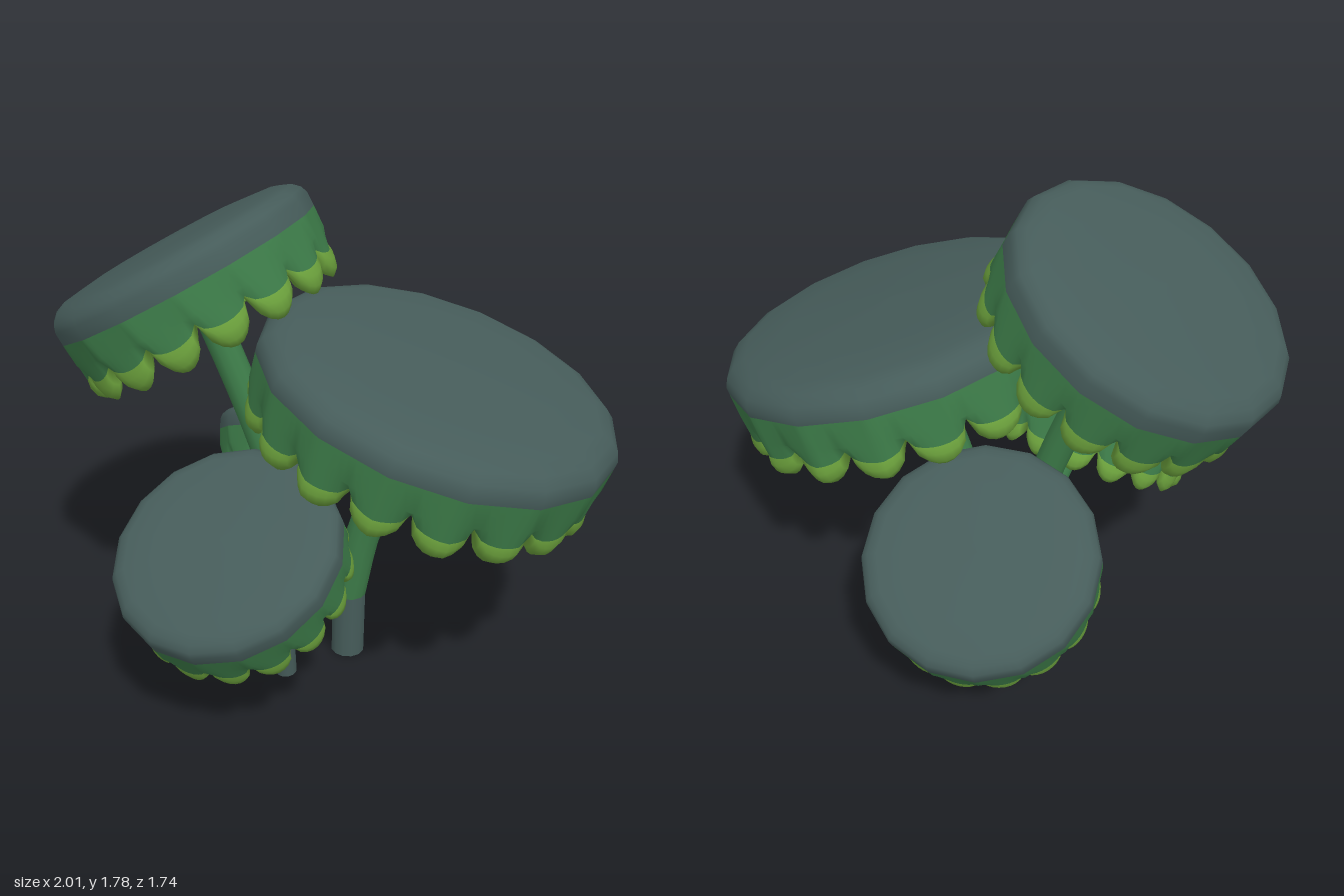
import * as THREE from 'three';

const slate = new THREE.MeshStandardMaterial({ color: 0x465c5a });
slate.name = 'slate';
const green = new THREE.MeshStandardMaterial({ color: 0x3d7c49, side: THREE.DoubleSide });
green.name = 'leafGreen';
const lime = new THREE.MeshStandardMaterial({ color: 0x6ba03c, side: THREE.DoubleSide });
lime.name = 'lime';

const SIDES = 16;

function add(parent, name, geometry, material) {
  const mesh = new THREE.Mesh(geometry, material);
  mesh.name = name;
  parent.add(mesh);
  return mesh;
}

// Closed ring surface; section(angle) lists [radius, y] from top to bottom
function ring(segments, section) {
  const pos = [], index = [];
  let rows = 0;
  for (let i = 0; i < segments; i++) {
    const a = (i / segments) * Math.PI * 2;
    const pts = section(a);
    rows = pts.length;
    for (const [r, y] of pts) pos.push(r * Math.cos(a), y, r * Math.sin(a));
  }
  for (let i = 0; i < segments; i++) {
    for (let j = 0; j < rows - 1; j++) {
      const p = i * rows + j, q = ((i + 1) % segments) * rows + j;
      index.push(p, q, p + 1, q, q + 1, p + 1);
    }
  }
  const g = new THREE.BufferGeometry();
  g.setAttribute('position', new THREE.Float32BufferAttribute(pos, 3));
  g.setIndex(index);
  g.computeVertexNormals();
  return g;
}

// Radius factor that follows the straight sides of the cap
function poly(a) {
  const step = (Math.PI * 2) / SIDES;
  return Math.cos(step / 2) / Math.cos((a % step) - step / 2);
}

// Cap: slate lid, green wall, scalloped lime rim and hollow underside
function cap(name, { center, axis, R, top, band, depth: D, scallops }) {
  const group = new THREE.Group();
  group.name = name;
  group.position.set(...center);
  group.quaternion.setFromUnitVectors(new THREE.Vector3(0, 1, 0), new THREE.Vector3(...axis).normalize());

  add(group, 'lid', ring(SIDES, () => [
    [0, top * 1.25], [R * 0.6, top * 1.15], [R * 0.85, top * 0.95], [R * 0.93, top * 0.72],
    [R * 0.98, top * 0.38], [R, 0], [R * 0.998, -band],
  ]), slate);

  const seg = scallops * 8;
  const puff = (a) => Math.sqrt(Math.abs(Math.sin((a * scallops) / 2)));
  const edge = (w) => -(0.56 + 0.14 * w) * D;

  add(group, 'wall', ring(seg, (a) => {
    const w = puff(a), k = R * poly(a);
    return [[k * 0.998, -band], [k * 0.99, -0.45 * D], [k * (0.93 + 0.055 * w), edge(w)]];
  }), green);

  add(group, 'scallopedRim', ring(seg, (a) => {
    const w = puff(a), k = R * poly(a), y = edge(w);
    return [
      [k * (0.93 + 0.055 * w), y],
      [k * (0.92 + 0.075 * w), y - 0.1 * D * w],
      [k * (0.91 + 0.07 * w), y - 0.22 * D * w],
      [k * (0.9 + 0.03 * w), y - 0.3 * D * w],
      [k * 0.885, y - 0.23 * D * w],
      [k * 0.87, -0.62 * D],
    ];
  }), lime);

  add(group, 'underside', ring(seg, (a) => {
    const k = R * poly(a);
    return [[k * 0.87, -0.62 * D], [k * 0.85, -0.54 * D], [k * 0.6, -0.49 * D], [0, -0.45 * D]];
  }), green);
  return group;
}

// Stem: slate foot, then a bent green stalk
function stem(name, radius, points) {
  const group = new THREE.Group();
  group.name = name;
  const v = points.map((p) => new THREE.Vector3(...p));
  add(group, 'foot', new THREE.TubeGeometry(new THREE.LineCurve3(v[0], v[1]), 1, radius * 1.01, 12), slate);
  const sole = add(group, 'sole', new THREE.CircleGeometry(radius, 12), slate);
  sole.rotation.x = Math.PI / 2;
  sole.position.copy(v[0]);
  const path = new THREE.CatmullRomCurve3(v.slice(1));
  add(group, 'stalk', new THREE.TubeGeometry(path, 10, radius, 12), green);
  return group;
}

export function createModel() {
  const model = new THREE.Group();
  model.name = 'capCluster';

  // Large cap leaning left
  model.add(cap('largeCap', {
    center: [0.385, 1.15, 0], axis: [0.304, 0.953, 0], R: 0.648, top: 0.085, band: 0.03, depth: 0.28, scallops: 18,
  }));
  model.add(stem('largeStem', 0.063, [[0.06, 0, 0], [0.065, 0.26, 0], [0.125, 0.55, 0], [0.25, 0.87, 0], [0.335, 1.04, 0]]));

  // Tall cap leaning right
  model.add(cap('tallCap', {
    center: [-0.56, 1.505, 0], axis: [-0.49, 0.872, 0], R: 0.505, top: 0.07, band: 0.05, depth: 0.29, scallops: 16,
  }));
  model.add(stem('tallStem', 0.057, [[-0.165, 0, 0], [-0.165, 0.27, 0], [-0.2, 0.62, 0], [-0.285, 0.9, 0], [-0.425, 1.25, 0], [-0.49, 1.39, 0]]));

  // Pair of small caps, front and back
  for (const [side, s] of [['front', 1], ['back', -1]]) {
    model.add(cap(side + 'SmallCap', {
      center: [-0.215, 0.69, 0.515 * s], axis: [-0.11, 0.86, 0.5 * s], R: 0.406, top: 0.055, band: 0.04, depth: 0.235, scallops: 16,
    }));
    model.add(stem(side + 'SmallStem', 0.04, [
      [-0.12, 0, 0.21 * s], [-0.12, 0.15, 0.225 * s], [-0.12, 0.36, 0.275 * s], [-0.16, 0.52, 0.375 * s], [-0.19, 0.61, 0.455 * s],
    ]));
  }
  return model;
}
